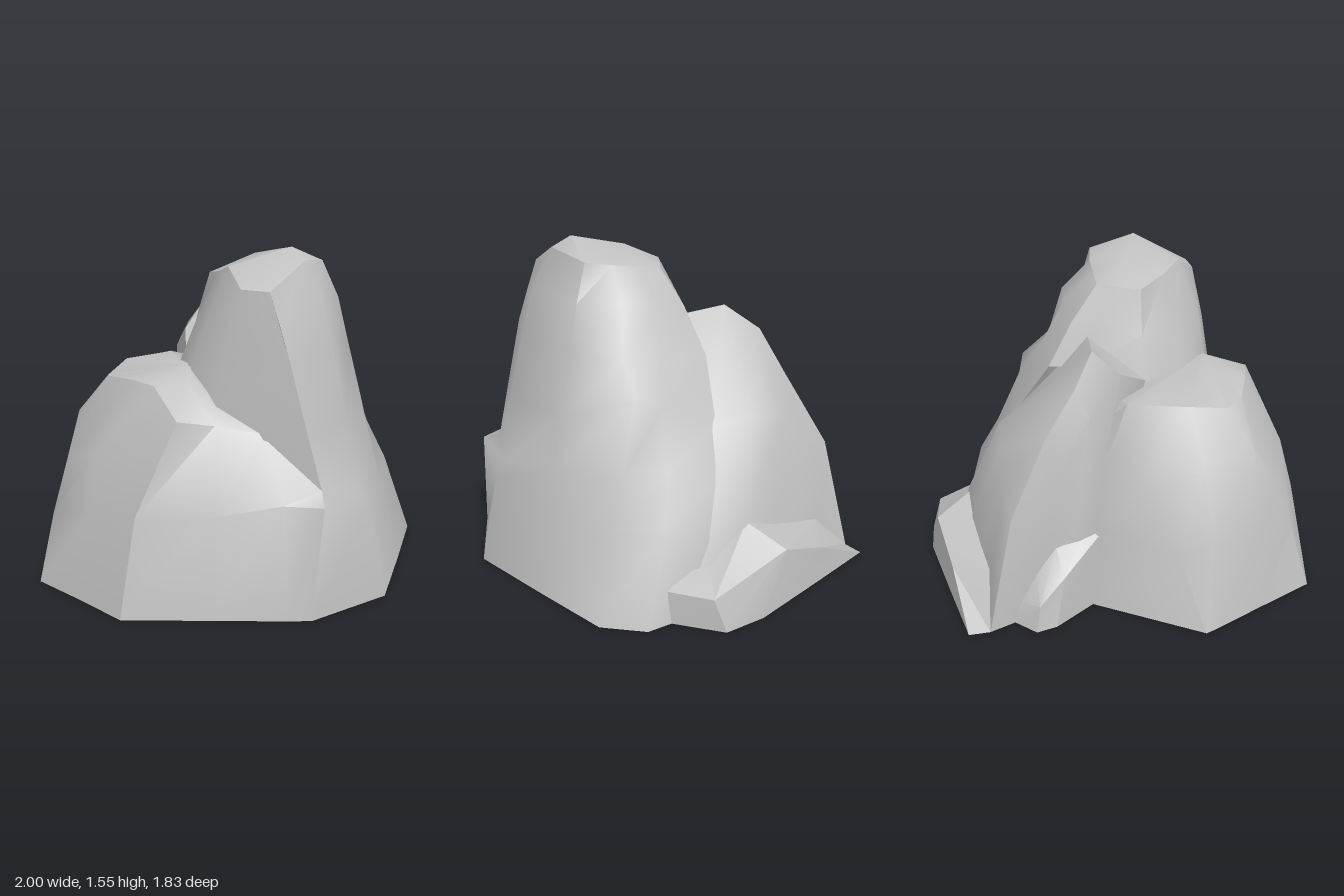
import * as THREE from 'three';
import { toCreasedNormals } from 'three/addons/utils/BufferGeometryUtils.js';

const stone = new THREE.MeshStandardMaterial({ color: 0xc2c2c2, side: THREE.DoubleSide });
stone.name = 'grey stone';

// Skin a grid of points: rows run upwards, columns run anticlockwise seen from above.
function skin(name, rows, crease) {
  const positions = [];
  const same = (p, q) => p.every((v, i) => v === q[i]);
  const tri = (a, b, c) => {
    if (!same(a, b) && !same(b, c) && !same(a, c)) positions.push(...a, ...b, ...c);
  };
  for (let r = 0; r < rows.length - 1; r++) {
    for (let c = 0; c < rows[r].length - 1; c++) {
      const a = rows[r][c], b = rows[r][c + 1], d = rows[r + 1][c], e = rows[r + 1][c + 1];
      tri(a, b, e);
      tri(a, e, d);
    }
  }
  const geometry = new THREE.BufferGeometry();
  geometry.setAttribute('position', new THREE.Float32BufferAttribute(positions, 3));
  const mesh = new THREE.Mesh(toCreasedNormals(geometry, crease), stone);
  mesh.name = name;
  return mesh;
}

// Turn a list of columns into rows
const toRows = (columns) => columns[0].map((_, r) => columns.map((col) => col[r]));

export function createModel() {
  const model = new THREE.Group();
  model.name = 'rockFormation';

  // Tall tower: broad front and right wall, with a small ledge low on the front
  const towerFront = toRows([
    [[-0.27, 0, 0.87], [-0.2, 0.5, 0.86], [-0.14, 0.54, 0.78], [-0.18, 0.8, 0.72], [-0.22, 1.1, 0.65], [-0.235, 1.25, 0.6], [-0.25, 1.39, 0.55]],
    [[0.15, 0, 0.91], [0.11, 0.42, 0.82], [0.09, 0.49, 0.78], [0.05, 0.8, 0.73], [0.03, 1.12, 0.65], [0.01, 1.33, 0.59], [0, 1.5, 0.5]],
    [[0.5, 0, 0.68], [0.42, 0.4, 0.62], [0.39, 0.56, 0.58], [0.36, 0.8, 0.53], [0.31, 1.1, 0.47], [0.28, 1.3, 0.43], [0.22, 1.47, 0.38]],
    [[0.84, 0, 0.45], [0.72, 0.4, 0.37], [0.64, 0.6, 0.31], [0.55, 0.93, 0.23], [0.41, 1.06, 0.25], [0.33, 1.3, 0.23], [0.19, 1.445, 0.25]],
    [[0.92, 0, 0.25], [0.78, 0.4, 0.14], [0.66, 0.6, 0.1], [0.53, 0.88, 0.1], [0.4, 1.06, 0.08], [0.28, 1.29, 0.08], [0.145, 1.42, 0.13]],
    [[0.87, 0, 0.1], [0.76, 0.3, -0.06], [0.64, 0.52, -0.12], [0.5, 0.75, -0.16], [0.3, 1.03, -0.16], [0.2, 1.24, -0.08], [0.1, 1.4, 0.01]],
  ]);
  model.add(skin('towerFront', towerFront, 1.1));

  // Tower: back and left wall above the lower rocks
  const towerBack = toRows([
    [[0.3, 1.03, -0.16], [0.2, 1.24, -0.08], [0.1, 1.4, 0.01]],
    [[0.12, 1.05, -0.16], [0.05, 1.25, -0.09], [0, 1.4, -0.01]],
    [[-0.15, 0.88, -0.17], [-0.14, 1.2, -0.1], [-0.12, 1.4, -0.03]],
    [[-0.34, 0.92, -0.03], [-0.28, 1.2, 0.07], [-0.2, 1.43, 0.14]],
    [[-0.41, 0.97, 0.18], [-0.36, 1.2, 0.24], [-0.25, 1.47, 0.27]],
    [[-0.41, 0.88, 0.38], [-0.36, 1.15, 0.4], [-0.3, 1.39, 0.42]],
    [[-0.14, 0.54, 0.78], [-0.22, 1.1, 0.65], [-0.25, 1.39, 0.55]],
  ]);
  model.add(skin('towerBack', towerBack, 1));

  // Tower cap: the rim rises to a short ridge
  const peak = [0, 1.55, 0.41], shoulder = [0, 1.5, 0.16];
  const rim = [...towerFront[6], ...towerBack[2].slice(1)];
  model.add(skin('towerCap', [rim, rim.map((p) => (p[2] > 0.24 ? peak : shoulder))], 0.9));

  // Left rock: steep walls below a broad, gently sloping top, running in under its neighbours
  const crown = [-0.4, 1.03, 0.16];
  model.add(skin('leftRock', toRows([
    [[0.25, 0, -0.5], [0.2, 0.4, -0.42], [0.1, 0.75, -0.3], [0, 0.93, -0.16], crown],
    [[0, 0, -0.58], [-0.01, 0.36, -0.5], [-0.06, 0.76, -0.42], [-0.12, 0.96, -0.36], crown],
    [[-0.56, 0, -0.69], [-0.41, 0.35, -0.61], [-0.25, 0.67, -0.53], [-0.18, 0.96, -0.355], crown],
    [[-0.6, 0, -0.65], [-0.56, 0.4, -0.55], [-0.5, 0.7, -0.45], [-0.4, 0.965, -0.34], crown],
    [[-0.78, 0, -0.45], [-0.75, 0.4, -0.39], [-0.7, 0.765, -0.3], [-0.57, 0.93, -0.24], crown],
    [[-1, 0, -0.21], [-0.9, 0.32, -0.23], [-0.81, 0.56, -0.24], [-0.62, 0.95, -0.14], crown],
    [[-0.95, 0, 0.07], [-0.88, 0.4, 0.06], [-0.81, 0.66, 0.03], [-0.62, 0.97, 0.05], crown],
    [[-0.91, 0, 0.34], [-0.82, 0.45, 0.34], [-0.62, 0.85, 0.38], [-0.61, 0.97, 0.2], crown],
    [[-0.6, 0, 0.6], [-0.54, 0.45, 0.55], [-0.47, 0.82, 0.45], [-0.47, 0.97, 0.26], crown],
    [[-0.36, 0, 0.8], [-0.32, 0.5, 0.73], [-0.27, 0.77, 0.56], [-0.37, 0.92, 0.34], crown],
    [[-0.27, 0, 0.87], [-0.2, 0.5, 0.86], [-0.14, 0.54, 0.78], [-0.3, 0.85, 0.42], crown],
  ]), 0.7));

  // Back rock: a bulging slab sloping to the right from a ridge, with a steep left face
  model.add(skin('backRock', [
    [[0.86, 0, 0.1], [0.86, 0, -0.1], [0.75, 0, -0.4], [0.65, 0, -0.55], [0.5, 0, -0.7], [0.41, 0, -0.88]],
    [[0.74, 0.32, -0.04], [0.71, 0.38, -0.25], [0.64, 0.32, -0.4], [0.55, 0.26, -0.55], [0.47, 0.2, -0.68], [0.41, 0, -0.88]],
    [[0.5, 0.76, -0.13], [0.5, 0.8, -0.34], [0.44, 0.76, -0.5], [0.4, 0.62, -0.62], [0.4, 0.4, -0.76], [0.41, 0, -0.88]],
    [[0.12, 1.18, -0.11], [0.05, 1.19, -0.32], [0.09, 1.07, -0.49], [0.2, 0.87, -0.59], [0.32, 0.54, -0.77], [0.41, 0, -0.88]],
    [[-0.17, 1, -0.16], [-0.07, 1.08, -0.3], [0.02, 0.95, -0.5], [0.14, 0.7, -0.6], [0.27, 0.4, -0.75], [0.41, 0, -0.88]],
    [[-0.12, 0.8, -0.2], [-0.06, 0.7, -0.36], [0, 0.35, -0.5], [0.12, 0, -0.6], [0.25, 0, -0.72], [0.41, 0, -0.88]],
  ], 0.75));

  // Low boulder along the right side
  model.add(skin('sideBoulder', [
    [[0.88, 0, 0.14], [1, 0, -0.08], [0.93, 0, -0.27], [0.7, 0, -0.62], [0.5, 0, -0.92]],
    [[0.86, 0.15, 0.15], [0.97, 0.15, -0.03], [0.83, 0.27, -0.4], [0.67, 0.16, -0.64], [0.5, 0, -0.92]],
    [[0.8, 0.2, 0.06], [0.81, 0.22, -0.05], [0.7, 0.36, -0.25], [0.47, 0.2, -0.68], [0.41, 0, -0.88]],
  ], 0.35));

  // Small wedge in the gap at the back
  model.add(skin('backWedge', [
    [[0.34, 0, -0.78], [0.2, 0, -0.84], [0.12, 0, -0.78], [-0.04, 0, -0.52]],
    [[0.32, 0.1, -0.75], [0.19, 0.12, -0.81], [0.1, 0.22, -0.71], [-0.02, 0.34, -0.5]],
    [[0.3, 0.22, -0.69], [0.24, 0.24, -0.68], [0.16, 0.33, -0.62], [0.04, 0.4, -0.44]],
  ], 0.35));

  return model;
}
